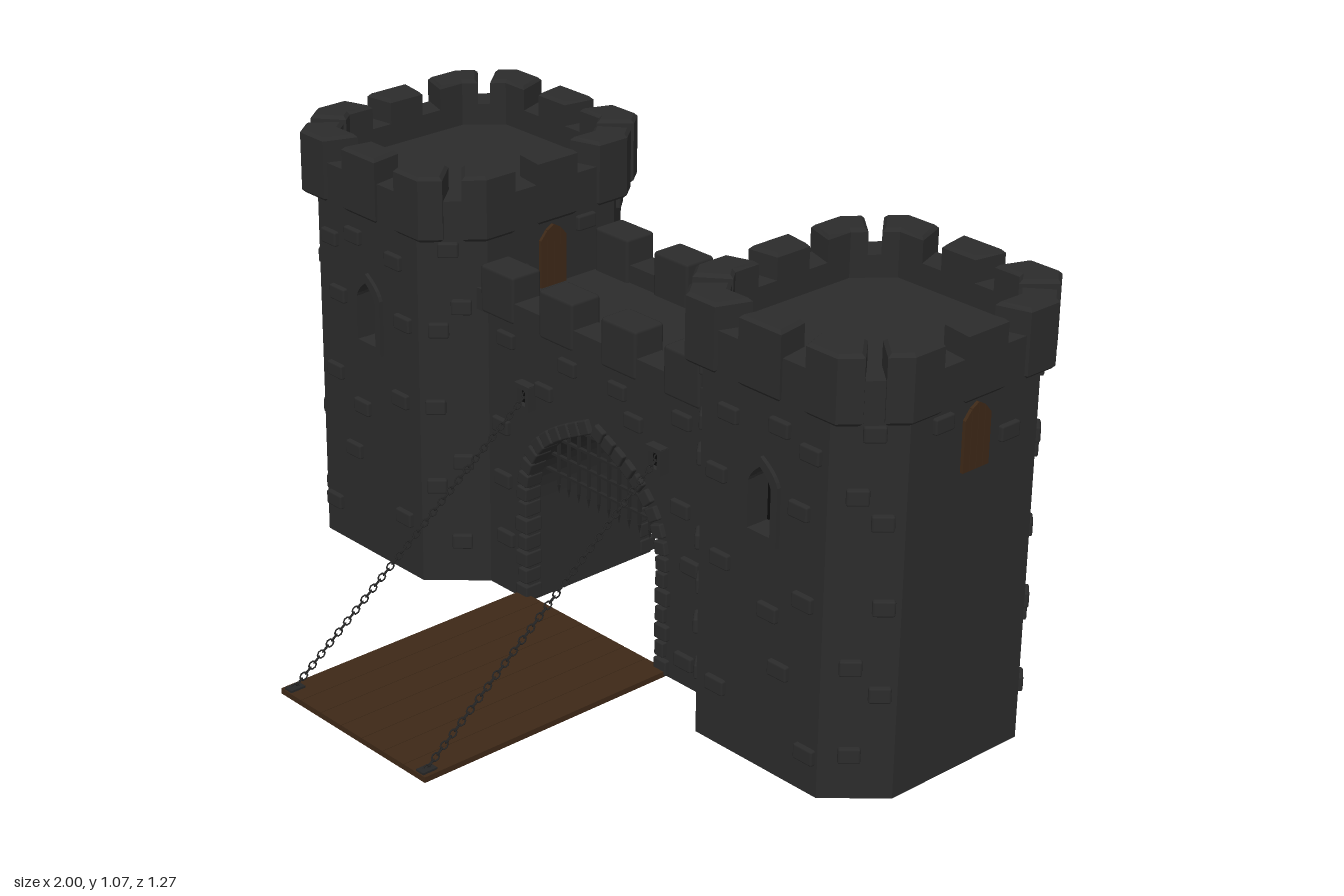
import * as THREE from 'three';
import { RoundedBoxGeometry } from 'three/addons/geometries/RoundedBoxGeometry.js';

const paint = (color) => new THREE.MeshStandardMaterial({ color });
const stone = paint(0x2b2b2b), dark = paint(0x0c0c0c), wood = paint(0x3d2817), iron = paint(0x262626);
const V2 = (x, y) => new THREE.Vector2(x, y);

function add(parent, name, geo, mat, x = 0, y = 0, z = 0) {
  const mesh = new THREE.Mesh(geo, mat);
  mesh.name = name;
  mesh.position.set(x, y, z);
  parent.add(mesh);
  return mesh;
}
const box = (w, h, d) => new THREE.BoxGeometry(w, h, d);
const block = (w, h, d, r = 0.007) => new RoundedBoxGeometry(w, h, d, 1, r);

// Slab from a floor plan (x, -z), standing between two heights
function plan(points, y0, y1, bevel = 0) {
  const geo = new THREE.ExtrudeGeometry(new THREE.Shape(points), {
    depth: y1 - y0 - 2 * bevel, bevelEnabled: bevel > 0, bevelSize: bevel,
    bevelThickness: bevel, bevelOffset: -bevel, bevelSegments: 1,
  });
  return geo.translate(0, 0, y0 + bevel).rotateX(-Math.PI / 2);
}

// Octagon with chamfered corners; even edges are chamfers, odd edges are flats
const octagon = (hx, hz, fx, fz) => [[fx, -hz], [hx, -fz], [hx, fz], [fx, hz],
  [-fx, hz], [-hx, fz], [-hx, -fz], [-fx, -hz]].map(([x, y]) => V2(x, y));

// Pointed outline for windows
function pointed(T, w, y0, spring, apex) {
  const s = new T();
  s.moveTo(-w, y0);
  s.lineTo(w, y0);
  s.lineTo(w, spring);
  s.quadraticCurveTo(w * 0.85, (spring + apex) / 2, 0, apex);
  s.quadraticCurveTo(-w * 0.85, (spring + apex) / 2, -w, spring);
  s.closePath();
  return s;
}

const FRONT_STONES = [[-0.142, 0.81], [-0.05, 0.84], [0.104, 0.82], [-0.114, 0.67], [0.136, 0.67], [-0.134, 0.46],
  [0.12, 0.465], [-0.03, 0.395], [-0.067, 0.267], [0.126, 0.15], [-0.154, 0.096]];
const CHAMFER_STONES = [[-0.01, 0.875], [0.02, 0.73], [-0.035, 0.67], [-0.045, 0.47],
  [0.02, 0.325], [-0.045, 0.26], [0.015, 0.11]];
const SIDE_STONES = [[0.105, 0.87], [-0.105, 0.79]];

function makeTower(side) {
  const tower = new THREE.Group();
  tower.name = side > 0 ? 'leftTower' : 'rightTower';
  tower.position.set(side * 0.676, 0, -0.29);
  const outline = octagon(0.301, 0.323, 0.19, 0.2);
  add(tower, 'towerBase', plan(outline, 0, 0.01), stone);
  add(tower, 'towerCore', plan(octagon(0.25, 0.27, 0.15, 0.16), 0.01, 0.9), dark);

  // Wall panels with windows, doors and raised stones
  outline.forEach((a, i) => {
    const b = outline[(i + 1) % 8], face = new THREE.Group();
    face.name = 'towerFace';
    face.position.set((a.x + b.x) / 2, 0, -(a.y + b.y) / 2);
    face.rotation.y = Math.atan2(b.y - a.y, b.x - a.x);
    tower.add(face);
    const h = a.distanceTo(b) / 2;
    const panel = new THREE.Shape([V2(-h, 0.01), V2(h, 0.01), V2(h, 0.91), V2(-h, 0.91)]);
    const windowed = i === 3 || i === 7;
    if (windowed) {
      panel.holes.push(pointed(THREE.Path, 0.036, 0.575, 0.69, 0.735));
      const frame = pointed(THREE.Shape, 0.054, 0.557, 0.7, 0.757);
      frame.holes.push(pointed(THREE.Path, 0.034, 0.577, 0.69, 0.733));
      add(face, 'windowFrame', new THREE.ExtrudeGeometry(frame,
        { depth: 0.022, bevelEnabled: false, curveSegments: 5 }), stone, 0, 0, -0.012);
    } else if (i % 2) {
      // Plank door with a pointed top
      const top = (x) => 0.89 - 0.035 * (Math.abs(x) / 0.041) ** 1.6;
      for (let k = 0; k < 4; k++) {
        const x0 = -0.041 + k * 0.0205 + 0.0008, x1 = x0 + 0.019;
        const plank = new THREE.Shape([V2(x0, 0.735), V2(x1, 0.735), V2(x1, top(x1)), V2(x0, top(x0))]);
        add(face, 'doorPlank', new THREE.ExtrudeGeometry(plank, { depth: 0.008, bevelEnabled: false }), wood);
      }
    }
    add(face, 'towerWall', new THREE.ExtrudeGeometry(panel,
      { depth: 0.055, bevelEnabled: false, curveSegments: 5 }), stone, 0, 0, -0.055);
    const stones = windowed ? FRONT_STONES : i % 2 ? SIDE_STONES : CHAMFER_STONES;
    for (const [x, y] of stones)
      add(face, 'raisedStone', block(i % 2 ? 0.058 : 0.05, 0.038, 0.024, 0.005), stone, x * -side, y, 0);
  });

  // Overhanging rim, floor and merlons
  const outer = octagon(0.324, 0.345, 0.224, 0.22), rim = octagon(0.316, 0.337, 0.22, 0.216);
  const inner = octagon(0.245, 0.262, 0.175, 0.178);
  add(tower, 'towerFloor', plan(rim, 0.905, 0.95), stone);
  const on = (ring, i, t) => ring[(i + 8) % 8].clone().lerp(ring[(i + 9) % 8], t);
  for (let i = 0; i < 8; i++) {
    add(tower, 'rimStone', plan([on(rim, i, 0), on(rim, i, 1), on(inner, i, 1), on(inner, i, 0)],
      0.91, 1.005), stone);
    const tPrev = i % 2 ? 0.64 : 0.8, tNext = i % 2 ? 0.2 : 0.36;
    add(tower, 'cornerMerlon', plan([on(outer, i - 1, tPrev), on(outer, i, 0), on(outer, i, tNext),
      on(inner, i, tNext), on(inner, i, 0), on(inner, i - 1, tPrev)], 0.905, 1.067, 0.008), stone);
    if (i % 2)
      add(tower, 'middleMerlon', plan([on(outer, i, 0.36), on(outer, i, 0.64),
        on(inner, i, 0.64), on(inner, i, 0.36)], 0.905, 1.067, 0.008), stone);
  }
  return tower;
}

// Half of the gate arch, from springing to apex
const arch = new THREE.CubicBezierCurve(V2(0.23, 0.27), V2(0.23, 0.44), V2(0.11, 0.48), V2(0, 0.535));
const archPts = arch.getPoints(16);
const archY = (x) => archPts.reduce((m, p) => (Math.abs(p.x - x) < Math.abs(m.x - x) ? p : m)).y;
const archX = (y) => archPts.reduce((m, p) => (Math.abs(p.y - y) < Math.abs(m.y - y) ? p : m)).x;

const WALL_STONES = [[-0.305, 0.67], [-0.086, 0.67], [0.085, 0.67], [0.3, 0.67], [-0.17, 0.58], [0.14, 0.61],
  [-0.325, 0.44], [0.3, 0.45], [0.335, 0.315], [-0.32, 0.3], [-0.31, 0.145], [0.32, 0.065]];

function makeGatehouse() {
  const gate = new THREE.Group();
  gate.name = 'gatehouse';
  const shape = new THREE.Shape([V2(-0.4, 0), ...[V2(0.23, 0), ...archPts].map((p) => V2(-p.x, p.y)),
    ...archPts.slice(0, -1).reverse(), V2(0.23, 0), V2(0.4, 0), V2(0.4, 0.735), V2(-0.4, 0.735)]);
  add(gate, 'gateWall', new THREE.ExtrudeGeometry(shape, { depth: 0.4, bevelEnabled: false }), stone, 0, 0, -0.49);

  for (const f of [1, -1]) {
    const z = -0.29 + f * 0.2;
    for (const [x, y] of WALL_STONES)
      add(gate, 'raisedStone', block(0.058, 0.038, 0.024, 0.005), stone, x * f, y, z);
    // Battlement
    add(gate, 'parapet', box(0.8, 0.055, 0.076), stone, 0, 0.7525, -0.29 + f * 0.182);
    for (const x of [-0.315, -0.107, 0.107, 0.315])
      add(gate, 'merlon', block(0.118, 0.12, 0.088, 0.008), stone, x, 0.786, -0.29 + f * 0.18);
    // Arch surround
    for (const s of [1, -1]) {
      for (let i = 0; i < 10; i++) {
        const t = (i + 0.5) / 10, p = arch.getPointAt(t), d = arch.getTangentAt(t);
        const v = add(gate, 'archStone', block(0.036, 0.034, 0.05, 0.004), stone,
          s * (p.x + d.y * 0.015), p.y - d.x * 0.015, z - f * 0.012);
        v.rotation.z = s * Math.atan2(-d.x, d.y);
      }
      for (let i = 0; i < 6; i++)
        add(gate, 'jambStone', block(i % 2 ? 0.03 : 0.042, 0.038, 0.05, 0.004), stone,
          s * (i % 2 ? 0.242 : 0.246), 0.024 + i * 0.045, z - f * 0.012);
    }
  }
  return gate;
}

function makePortcullis() {
  const grid = new THREE.Group();
  grid.name = 'portcullis';
  grid.position.z = -0.14;
  for (let i = -5; i <= 5; i++) {
    const x = i * 0.0355, top = archY(Math.abs(x)) + 0.015;
    add(grid, 'uprightBar', box(0.007, top - 0.32, 0.007), iron, x, (top + 0.32) / 2);
    add(grid, 'spike', new THREE.ConeGeometry(0.006, 0.025, 4).rotateX(Math.PI), iron, x, 0.308);
  }
  for (const y of [0.35, 0.395, 0.44, 0.485])
    add(grid, 'crossBar', box(2 * archX(y) + 0.03, 0.006, 0.009), iron, 0, y);
  return grid;
}

function makeDrawbridge() {
  const bridge = new THREE.Group();
  bridge.name = 'drawbridge';
  for (let i = -3; i <= 3; i++)
    add(bridge, 'bridgePlank', box(0.0735, 0.014, 0.725), wood, i * 0.075, 0.01, 0.2725);
  const link = new THREE.TorusGeometry(0.0075, 0.0018, 4, 8).scale(1.35, 1, 1);
  for (const s of [1, -1]) {
    add(bridge, 'chainPlate', box(0.025, 0.006, 0.04), iron, s * 0.24, 0.019, 0.612);
    // Chain bracket on the wall
    add(bridge, 'bracketBack', box(0.03, 0.04, 0.02), dark, s * 0.228, 0.553, -0.09);
    for (const k of [1, -1]) {
      add(bridge, 'bracketSide', box(0.012, 0.06, 0.04), stone, s * 0.228 + k * 0.02, 0.553, -0.085);
      add(bridge, 'bracketRail', box(0.05, 0.012, 0.04), stone, s * 0.228, 0.553 + k * 0.026, -0.085);
    }
    // Chain of alternating links
    const a = new THREE.Vector3(s * 0.24, 0.02, 0.612), b = new THREE.Vector3(s * 0.228, 0.555, -0.08);
    const turn = new THREE.Quaternion().setFromUnitVectors(new THREE.Vector3(1, 0, 0), b.clone().sub(a).normalize());
    const count = 54;
    for (let i = 0; i <= count; i++) {
      const m = add(bridge, 'chainLink', link, iron);
      m.position.lerpVectors(a, b, i / count);
      m.quaternion.copy(turn);
      m.rotateX(i % 2 ? Math.PI / 2 : 0);
    }
  }
  return bridge;
}

export function createModel() {
  const castle = new THREE.Group();
  castle.name = 'castleGate';
  castle.add(makeTower(1), makeTower(-1), makeGatehouse(), makePortcullis(), makeDrawbridge());
  return castle;
}
